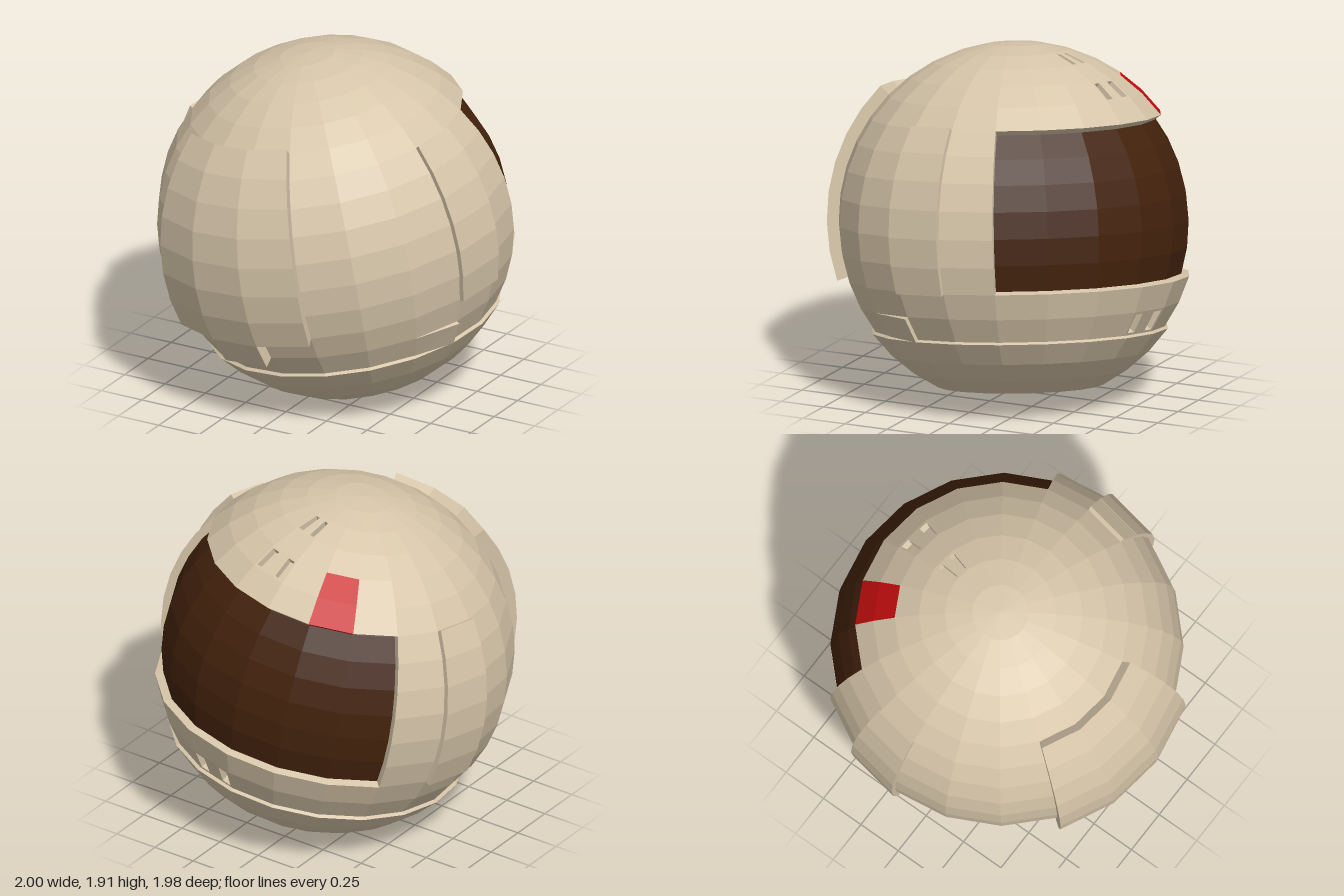
import * as THREE from 'three';

const SEG = 20;                  // sectors around the axis, 9 degree bands down it
const STEP = Math.PI * 2 / SEG;
const R = 0.97;                  // shell radius

const paint = (color) => new THREE.MeshStandardMaterial({
  color, flatShading: true, roughness: 0.8, side: THREE.DoubleSide,
});

// Point on the sphere at sector line a, band line t, radius r
function at(a, t, r) {
  const th = t * STEP / 2, az = a * STEP;
  return new THREE.Vector3(
    r * Math.sin(th) * Math.cos(az), r * Math.cos(th), r * Math.sin(th) * Math.sin(az));
}

function quadMesh(name, quads, material) {
  const pos = [];
  for (const [a, b, c, d] of quads)
    for (const p of [a, b, c, a, c, d]) pos.push(p.x, p.y, p.z);
  const geo = new THREE.BufferGeometry();
  geo.setAttribute('position', new THREE.Float32BufferAttribute(pos, 3));
  geo.computeVertexNormals();
  const mesh = new THREE.Mesh(geo, material);
  mesh.name = name;
  return mesh;
}

// Cells of a rectangular range of sectors and bands (end exclusive)
function range(a0, a1, t0, t1) {
  const cells = [];
  for (let a = a0; a < a1; a++) for (let t = t0; t < t1; t++) cells.push([a, t]);
  return cells;
}

const key = ([a, t]) => ((a + SEG) % SEG) + ':' + t;

// Curved slab covering a set of cells, with walls along its outline
function slab(name, cells, rOut, rIn, material) {
  const used = new Set(cells.map(key)), quads = [];
  for (const [a, t] of cells) {
    const c = [[a, t], [a + 1, t], [a + 1, t + 1], [a, t + 1]];
    quads.push(c.map(([x, y]) => at(x, y, rOut)));
    const next = [[a, t - 1], [a + 1, t], [a, t + 1], [a - 1, t]];
    next.forEach((n, i) => {
      if (used.has(key(n)) || n[1] < 0) return;
      const p = c[i], q = c[(i + 1) % 4];
      quads.push([at(...p, rIn), at(...q, rIn), at(...q, rOut), at(...p, rOut)]);
    });
  }
  return quadMesh(name, quads, material);
}

// Shell cell with two sunken slots
function ventCell(name, a, t, material) {
  const us = [0, 0.06, 0.3, 0.7, 0.94, 1], vs = [0, 0.1, 0.9, 1], quads = [];
  const p = (u, v, s = 1) => at(a, t, R).lerp(at(a + 1, t, R), u)
    .lerp(at(a, t + 1, R).lerp(at(a + 1, t + 1, R), u), v).multiplyScalar(s);
  for (let i = 0; i < 5; i++) for (let j = 0; j < 3; j++) {
    const c = [[us[i], vs[j]], [us[i + 1], vs[j]], [us[i + 1], vs[j + 1]], [us[i], vs[j + 1]]];
    const slot = j === 1 && i % 2 === 1;
    const depth = slot ? 0.96 : 1;
    quads.push(c.map(([u, v]) => p(u, v, depth)));
    if (slot) c.forEach((m, k) => {
      const n = c[(k + 1) % 4];
      quads.push([p(...m), p(...n), p(...n, depth), p(...m, depth)]);
    });
  }
  return quadMesh(name, quads, material);
}

export function createModel() {
  const model = new THREE.Group();
  model.name = 'helmet';
  const tan = paint(0xd6c5a9), brown = paint(0x43220c), red = paint(0xc60e0e);
  const body = new THREE.Group();
  body.name = 'tiltedBody';

  // Main shell, with openings for the visor, marker and vents
  const visor = range(12, 19, 6, 12);
  const marker = range(13, 14, 4, 6);
  const vents = [[15, 2], [15, 4], [15, 13]];
  const open = new Set([...visor, ...marker, ...vents].map(key));
  const shell = range(0, SEG, 0, 14).filter((c) => !open.has(key(c)));
  body.add(slab('shell', shell, R, 0.92, tan));
  vents.forEach(([a, t], i) => body.add(ventCell('vent' + (i + 1), a, t, tan)));

  // Recessed visor and coloured marker
  body.add(slab('visor', visor, 0.925, 0.9, brown));
  body.add(slab('marker', marker, R, 0.92, red));

  // Neck ring and the tube inside the opening
  body.add(slab('neckRing', range(0, SEG, 14, 17), 0.99, R, tan));
  const mouth = at(0, 17, R);
  const tube = new THREE.Mesh(
    new THREE.CylinderGeometry(mouth.x, mouth.x, 0.9, SEG, 1, true), tan);
  tube.position.y = mouth.y + 0.45;
  tube.name = 'neckTube';
  const cap = new THREE.Mesh(new THREE.CircleGeometry(mouth.x, SEG), tan);
  cap.rotation.x = Math.PI / 2;
  cap.position.y = mouth.y + 0.9;
  cap.name = 'neckTubeEnd';
  body.add(tube, cap);

  // Raised front panel with a lower tab
  body.add(slab('frontPanel', [...range(4, 7, 5, 12), [5, 12]], 1.035, 0.96, tan));

  // Side panels; the left one has separate end pieces
  body.add(slab('leftPanel', range(0, 1, 7, 11), 1.0, 0.96, tan));
  body.add(slab('leftPanelTop', [[0, 6]], 0.998, 0.96, tan));
  body.add(slab('leftPanelBottom', [[0, 11]], 0.998, 0.96, tan));
  body.add(slab('rightPanel', range(10, 11, 6, 12), 1.0, 0.96, tan));

  // Small wedge low on the left side
  const hi = R + 0.022, lo = R + 0.002;
  const top = [at(1, 13, hi), at(2, 13, lo), at(2, 14, lo), at(1, 14, hi)];
  const base = [at(1, 13, 0.96), at(2, 13, 0.96), at(2, 14, 0.96), at(1, 14, 0.96)];
  const wedge = [top];
  for (let i = 0; i < 4; i++) {
    const j = (i + 1) % 4;
    wedge.push([base[i], base[j], top[j], top[i]]);
  }
  body.add(quadMesh('sideWedge', wedge, tan));

  // Lean of the whole body
  body.quaternion.setFromUnitVectors(
    new THREE.Vector3(0, 1, 0), new THREE.Vector3(-0.14, 0.986, 0.088).normalize());
  body.position.set(0, 0.93, -0.045);
  model.add(body);
  return model;
}
